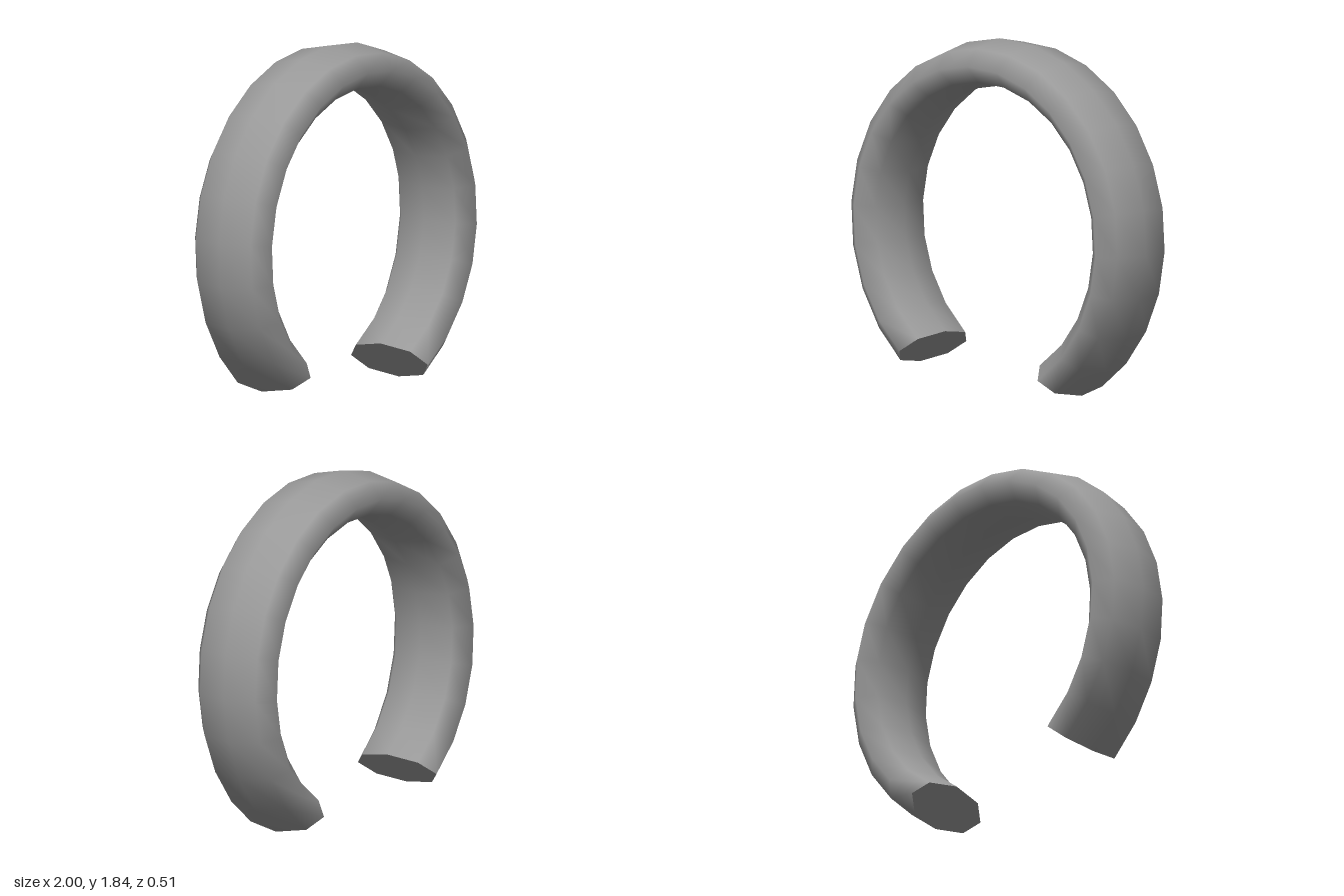
import * as THREE from 'three';

const SEGMENTS = 21, SIDES = 8;
const RADIUS = 0.875, HALF_THICK = 0.125, HALF_WIDTH = 0.257, CENTRE_Y = 0.846;
const START = THREE.MathUtils.degToRad(-58.6), END = THREE.MathUtils.degToRad(231.6);
const STEP = (END - START) / SEGMENTS;

// Centre and outward direction of one cross-section; the two ends sit square to their last segment
function section(i) {
  const angle = START + i * STEP;
  const facing = angle + (i === 0 ? STEP / 2 : i === SEGMENTS ? -STEP / 2 : 0);
  return {
    centre: new THREE.Vector3(RADIUS * Math.cos(angle), CENTRE_Y + RADIUS * Math.sin(angle), 0),
    out: new THREE.Vector3(Math.cos(facing), Math.sin(facing), 0),
  };
}

// Flattened eight-sided tube swept along the arc
function bandGeometry() {
  const positions = [], index = [];
  for (let i = 0; i <= SEGMENTS; i++) {
    const { centre, out } = section(i);
    for (let j = 0; j < SIDES; j++) {
      const phi = (j / SIDES) * Math.PI * 2;
      const p = centre.clone().addScaledVector(out, HALF_THICK * Math.cos(phi));
      positions.push(p.x, p.y, HALF_WIDTH * Math.sin(phi));
      if (i === SEGMENTS) continue;
      const k = (j + 1) % SIDES;
      const a = i * SIDES + j, b = a + SIDES, d = i * SIDES + k, c = d + SIDES;
      index.push(a, b, c, a, c, d);
    }
  }
  const geometry = new THREE.BufferGeometry();
  geometry.setAttribute('position', new THREE.Float32BufferAttribute(positions, 3));
  geometry.setIndex(index);
  geometry.computeVertexNormals();
  return geometry;
}

// Flat octagon closing one end of the band
function capGeometry(i) {
  const { centre, out } = section(i);
  const across = new THREE.Vector3(0, 0, i === 0 ? 1 : -1);
  const normal = out.clone().cross(across);
  const placement = new THREE.Matrix4().makeBasis(out, across, normal).setPosition(centre);
  return new THREE.CircleGeometry(1, SIDES)
    .scale(HALF_THICK, HALF_WIDTH, 1)
    .applyMatrix4(placement);
}

export function createModel() {
  const model = new THREE.Group();
  model.name = 'openCuff';
  const material = new THREE.MeshStandardMaterial({ color: 0x999999 });
  const add = (name, geometry) => {
    const mesh = new THREE.Mesh(geometry, material);
    mesh.name = name;
    model.add(mesh);
  };
  add('band', bandGeometry());
  add('leftEndCap', capGeometry(0));
  add('rightEndCap', capGeometry(SEGMENTS));
  return model;
}
